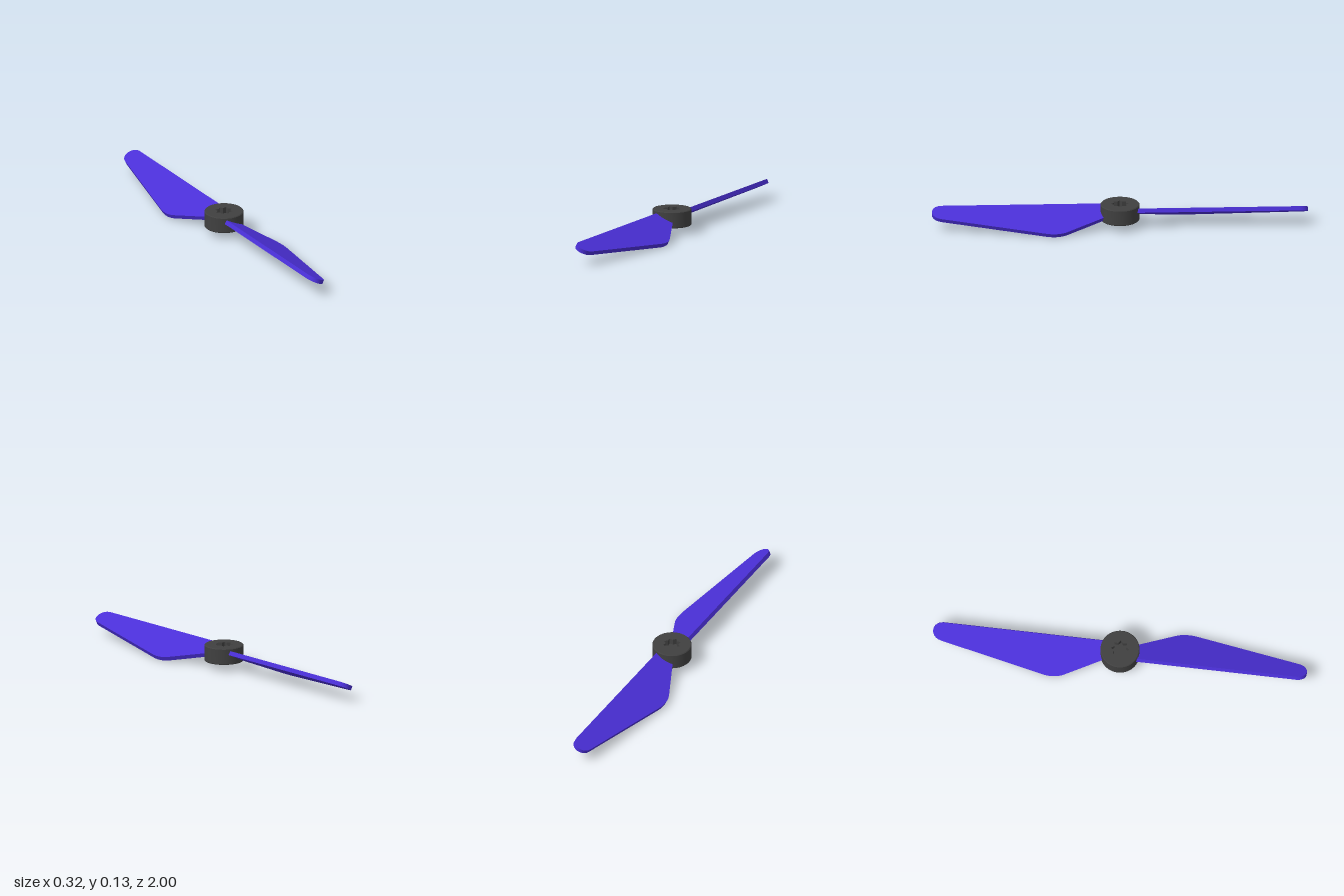
import * as THREE from 'three';
import { toCreasedNormals } from 'three/addons/utils/BufferGeometryUtils.js';

const HUB_R = 0.104, HUB_BOTTOM = 0.04, HUB_TOP = 0.128, BEVEL = 0.004;
const SOCKET_FLOOR = 0.095;
const PITCH = THREE.MathUtils.degToRad(25.2);
const THICKNESS = 0.023;

function mesh(name, geometry, material) {
  const m = new THREE.Mesh(geometry, material);
  m.name = name;
  return m;
}

// Eight-pointed star of the shaft socket
function starPoints() {
  return Array.from({ length: 16 }, (_, i) => {
    const a = (i / 16) * Math.PI * 2, r = i % 2 ? 0.034 : 0.048;
    return new THREE.Vector2(Math.cos(a) * r, Math.sin(a) * r);
  });
}

function createHub(material) {
  const hub = new THREE.Group();
  hub.name = 'hub';

  // Outer wall with small bevels, and the closed underside
  const profile = [
    [0, HUB_BOTTOM], [HUB_R - BEVEL, HUB_BOTTOM], [HUB_R, HUB_BOTTOM + BEVEL],
    [HUB_R, HUB_TOP - BEVEL], [HUB_R - BEVEL, HUB_TOP],
  ].map(([r, y]) => new THREE.Vector2(r, y));
  hub.add(mesh('hubShell', toCreasedNormals(new THREE.LatheGeometry(profile, 48), 0.5), material));

  // Top plate with the star socket cut through it
  const plate = new THREE.Shape().absarc(0, 0, HUB_R - BEVEL, 0, Math.PI * 2);
  plate.holes.push(new THREE.Path(starPoints().reverse()));
  const plateGeo = new THREE.ExtrudeGeometry(plate, {
    depth: HUB_TOP - SOCKET_FLOOR, bevelEnabled: false, curveSegments: 24,
  });
  plateGeo.rotateX(-Math.PI / 2).translate(0, SOCKET_FLOOR, 0);
  hub.add(mesh('hubTopPlate', plateGeo, material));

  // Floor of the socket
  const floorGeo = new THREE.CircleGeometry(0.06, 24);
  floorGeo.rotateX(-Math.PI / 2).translate(0, SOCKET_FLOOR, 0);
  hub.add(mesh('socketFloor', floorGeo, material));
  return hub;
}

// Flat blade outline: straight leading edge, swept trailing edge, round tip
function createBladeGeometry() {
  const s = new THREE.Shape();
  s.moveTo(-0.05, 0.07);
  s.lineTo(0.045, 0.07);
  s.lineTo(0.155, 0.285);
  s.quadraticCurveTo(0.176, 0.33, 0.166, 0.39);
  s.lineTo(0.047, 0.95);
  s.bezierCurveTo(0.035, 1.016, -0.046, 1.016, -0.05, 0.95);
  s.closePath();
  const geo = new THREE.ExtrudeGeometry(s, {
    depth: THICKNESS, bevelEnabled: false, curveSegments: 10,
  });
  geo.translate(0, 0, -THICKNESS / 2);
  geo.rotateX(Math.PI / 2).rotateZ(-PITCH);
  return toCreasedNormals(geo, 0.6);
}

export function createModel() {
  const model = new THREE.Group();
  model.name = 'propeller';
  const hubMaterial = new THREE.MeshStandardMaterial({ color: 0x404040 });
  const bladeMaterial = new THREE.MeshStandardMaterial({ color: 0x4a2fd6 });

  model.add(createHub(hubMaterial));

  // Two blades, half a turn apart
  const bladeGeo = createBladeGeometry();
  ['frontBlade', 'backBlade'].forEach((name, i) => {
    const blade = mesh(name, bladeGeo, bladeMaterial);
    blade.position.y = 0.0835;
    blade.rotation.y = i * Math.PI;
    model.add(blade);
  });
  return model;
}
